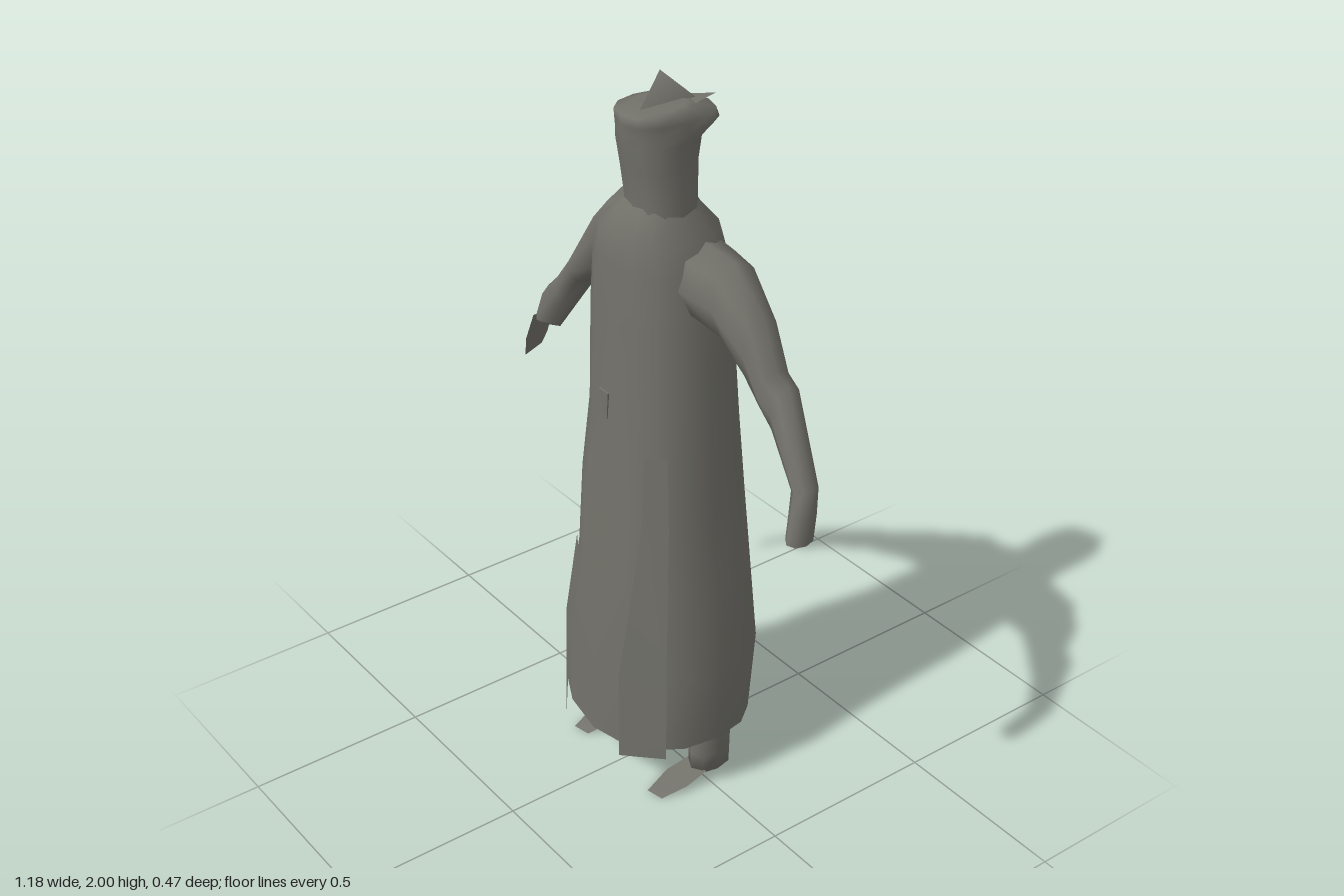
import * as THREE from 'three';

const cloth = new THREE.MeshStandardMaterial({ color: 0x72716a, side: THREE.DoubleSide });
cloth.name = 'grey cloth';

const V = (x, y, z) => new THREE.Vector3(x, y, z);

// Skin a run of rings {c, u, v}; p squares the outline, cap closes the ends.
function loft(name, rings, { sides = 12, p = 2, capStart = false, capEnd = false } = {}) {
  const pos = [], index = [];
  const sp = t => Math.sign(t) * Math.pow(Math.abs(t), 2 / p);
  rings.forEach(({ c, u, v }) => {
    for (let i = 0; i < sides; i++) {
      const a = (i / sides) * Math.PI * 2;
      const q = c.clone().addScaledVector(u, sp(Math.cos(a))).addScaledVector(v, sp(Math.sin(a)));
      pos.push(q.x, q.y, q.z);
    }
  });
  for (let r = 0; r < rings.length - 1; r++) {
    for (let i = 0; i < sides; i++) {
      const a = r * sides + i, b = r * sides + (i + 1) % sides;
      index.push(a, a + sides, b, b, a + sides, b + sides);
    }
  }
  const cap = (r, flip) => {
    const mid = pos.length / 3, c = rings[r].c;
    pos.push(c.x, c.y, c.z);
    for (let i = 0; i < sides; i++) {
      const a = r * sides + i, b = r * sides + (i + 1) % sides;
      index.push(mid, ...(flip ? [a, b] : [b, a]));
    }
  };
  if (capStart) cap(0, true);
  if (capEnd) cap(rings.length - 1, false);
  return surface(name, pos, index);
}

function surface(name, pos, index) {
  const g = new THREE.BufferGeometry();
  g.setAttribute('position', new THREE.Float32BufferAttribute(pos, 3));
  g.setIndex(index);
  g.computeVertexNormals();
  const m = new THREE.Mesh(g, cloth);
  m.name = name;
  return m;
}

// Level ring from its bounds: height, min x, max x, front z, back z
const level = ([y, x0, x1, zf, zb]) => ({
  c: V((x0 + x1) / 2, y, (zf + zb) / 2), u: V((x1 - x0) / 2, 0, 0), v: V(0, 0, (zf - zb) / 2),
});

// Sleeve ring from its upper and lower points and its z range
const sleeve = side => ([xu, yu, xl, yl, zf, zb]) => ({
  c: V((xu + xl) / 2, (yu + yl) / 2, (zf + zb) / 2),
  u: V((xu - xl) / 2, (yu - yl) / 2, 0), v: V(0, 0, -side * (zf - zb) / 2),
});

// Thin strip between pairs of points
function strip(name, pairs) {
  const pos = [], index = [];
  pairs.forEach(([a, b]) => pos.push(...a, ...b));
  for (let i = 0; i < pairs.length - 1; i++) {
    const k = i * 2;
    index.push(k, k + 1, k + 2, k + 1, k + 3, k + 2);
  }
  return surface(name, pos, index);
}

export function createModel() {
  const group = new THREE.Group();
  group.name = 'robedFigure';

  // Long robe, open at the hem
  const robe = loft('robe', [
    [0.14, -0.295, 0.25, 0.215, -0.215],
    [0.40, -0.29, 0.255, 0.21, -0.235],
    [0.65, -0.235, 0.23, 0.195, -0.215],
    [0.88, -0.225, 0.215, 0.18, -0.195],
    [1.10, -0.195, 0.205, 0.165, -0.172],
    [1.38, -0.19, 0.18, 0.155, -0.162],
    [1.53, -0.18, 0.16, 0.148, -0.155],
    [1.60, -0.155, 0.14, 0.142, -0.14],
    [1.66, -0.095, 0.11, 0.115, -0.085],
    [1.70, -0.06, 0.09, 0.09, -0.06],
  ].map(level), { sides: 16, p: 2.35 });
  // Lift the hem at the sides
  const hem = robe.geometry.attributes.position;
  for (let i = 0; i < 16; i++) hem.setY(i, 0.135 + 0.035 * Math.abs(Math.cos(i / 16 * Math.PI * 2)));
  group.add(robe);

  // Front edges of the open coat
  group.add(strip('rightCoatEdge', [
    [[-0.22, 0.15, 0.165], [-0.125, 0.14, 0.233]],
    [[-0.22, 0.40, 0.16], [-0.115, 0.40, 0.222]],
    [[-0.19, 0.65, 0.14], [-0.11, 0.65, 0.19]],
  ]));
  group.add(strip('leftCoatEdge', [
    [[0.12, 0.14, 0.233], [0.22, 0.15, 0.15]],
    [[0.11, 0.40, 0.222], [0.22, 0.40, 0.15]],
    [[0.14, 0.85, 0.168], [0.19, 0.85, 0.12]],
    [[0.13, 1.05, 0.15], [0.17, 1.05, 0.11]],
  ]));

  // Small clasp on the front
  const claspShape = new THREE.Shape([
    new THREE.Vector2(-0.042, 1.18), new THREE.Vector2(-0.025, 1.12), new THREE.Vector2(-0.008, 1.105),
    new THREE.Vector2(-0.002, 1.18)]);
  const clasp = new THREE.Mesh(new THREE.ExtrudeGeometry(claspShape, { depth: 0.006, bevelEnabled: false }), cloth);
  clasp.name = 'clasp';
  clasp.position.z = 0.16;
  group.add(clasp);

  // Neck, face and flared cap
  group.add(loft('head', [
    [1.64, -0.075, 0.11, 0.10, -0.07],
    [1.70, -0.07, 0.105, 0.10, -0.07],
    [1.78, -0.073, 0.10, 0.11, -0.075],
    [1.845, -0.078, 0.098, 0.12, -0.09],
    [1.87, -0.08, 0.097, 0.122, -0.145],
    [1.895, -0.08, 0.096, 0.124, -0.135],
    [1.92, -0.075, 0.092, 0.124, -0.07],
    [1.925, -0.05, 0.07, 0.09, -0.05],
  ].map(level), { sides: 12, p: 2.3, capEnd: true }));

  // Upright peak on the cap
  group.add(surface('capPeak', [
    0, 2, 0.005, 0.025, 1.915, 0.09, 0.03, 1.915, -0.085, 0.005, 1.915, 0,
  ], [0, 1, 2, 0, 3, 1, 0, 2, 3]));
  group.add(surface('capPoint', [0.04, 1.922, -0.13, -0.02, 1.92, -0.05, 0.06, 1.92, -0.05], [0, 1, 2]));

  // Right sleeve, raised at the shoulder
  group.add(loft('rightArm', [
    [-0.07, 1.665, -0.12, 1.40, 0.09, -0.11],
    [-0.175, 1.645, -0.195, 1.38, 0.06, -0.125],
    [-0.27, 1.55, -0.25, 1.355, 0.035, -0.105],
    [-0.42, 1.34, -0.365, 1.28, 0.01, -0.09],
    [-0.475, 1.27, -0.43, 1.19, 0.01, -0.08],
    [-0.535, 1.205, -0.485, 1.10, 0.015, -0.06],
    [-0.555, 1.125, -0.515, 1.10, 0.02, -0.045],
  ].map(sleeve(-1)), { sides: 8 }));
  group.add(strip('rightHand', [
    [[-0.55, 1.12, 0.02], [-0.55, 1.12, -0.045]],
    [[-0.575, 1.04, 0.03], [-0.575, 1.04, -0.04]],
    [[-0.582, 0.985, 0.03], [-0.59, 1.0, -0.03]],
  ]));

  // Left sleeve, running down to the cuff
  group.add(loft('leftArm', [
    [0.09, 1.62, 0.10, 1.42, 0.09, -0.11],
    [0.15, 1.59, 0.18, 1.40, 0.06, -0.13],
    [0.235, 1.58, 0.255, 1.375, 0.04, -0.12],
    [0.34, 1.475, 0.315, 1.295, 0.01, -0.105],
    [0.395, 1.35, 0.375, 1.25, 0.01, -0.10],
    [0.445, 1.335, 0.42, 1.20, 0.005, -0.09],
    [0.57, 1.115, 0.51, 1.10, 0.015, -0.055],
    [0.58, 1.05, 0.525, 1.04, 0.035, -0.045],
    [0.588, 0.98, 0.535, 0.99, 0.05, -0.03],
  ].map(sleeve(1)), { sides: 8 }));

  // Legs and flat pointed feet
  for (const [side, x] of [['right', -0.17], ['left', 0.175]]) {
    group.add(loft(side + 'Leg', [
      [0.025, x - 0.04, x + 0.04, 0.03, -0.09],
      [0.08, x - 0.043, x + 0.043, 0.03, -0.09],
      [0.17, x - 0.045, x + 0.045, 0.02, -0.09],
      [0.35, x - 0.05, x + 0.05, 0.03, -0.085],
    ].map(level), { sides: 8, p: 2.5, capStart: true }));
    group.add(strip(side + 'Foot', [
      [[x - 0.04, 0.035, 0.01], [x + 0.04, 0.035, 0.01]],
      [[x - 0.045, 0.02, 0.08], [x + 0.045, 0.02, 0.08]],
      [[x - 0.025, 0, 0.16], [x + 0.025, 0, 0.15]],
    ]));
  }
  return group;
}
